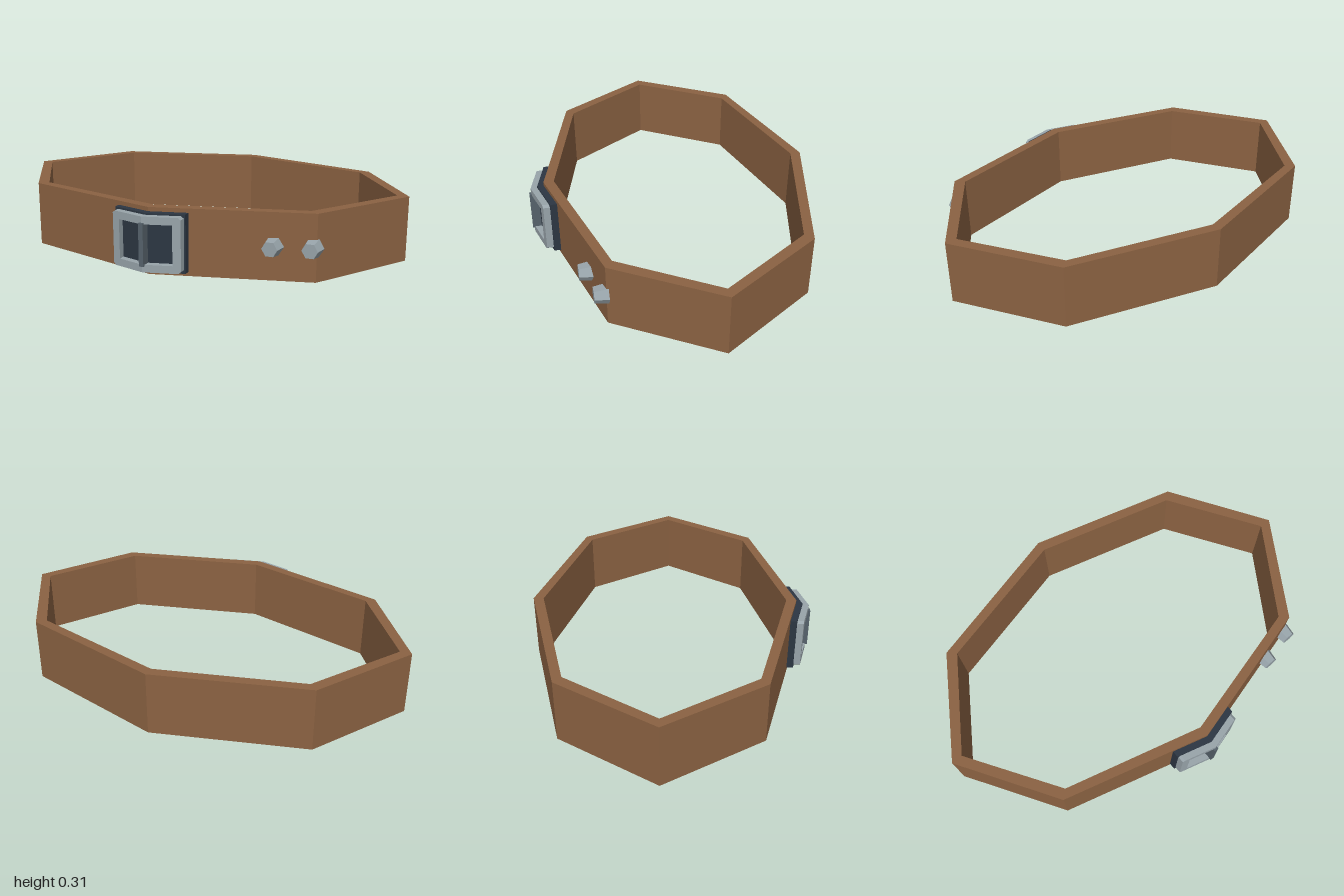
import * as THREE from 'three';

const mat = (color) => new THREE.MeshStandardMaterial({ color, flatShading: true });
const leather = mat(0x8b6242), dark = mat(0x2c3642), steel = mat(0x98a4aa), iron = mat(0x56626b);
const SLOPE = 0.27; // how far the front panels fall back per unit of x
const MID = 0.154; // half height of the belt

const octagon = (rx, rz) => Array.from({ length: 8 }, (_, i) => {
  const a = (i * Math.PI) / 4;
  return new THREE.Vector2(Math.cos(a) * rx, Math.sin(a) * rz);
});

// Extrude an outline given for x >= 0, mirror it, and lean both halves back along the belt
function bentPart(name, outline, z, depth, material) {
  const group = new THREE.Group();
  group.name = name;
  for (const side of [1, -1]) {
    const shape = new THREE.Shape(outline.map(([x, y]) => new THREE.Vector2(side * x, y)));
    const geo = new THREE.ExtrudeGeometry(shape, { depth, bevelEnabled: false });
    const p = geo.attributes.position;
    for (let i = 0; i < p.count; i++) p.setZ(i, p.getZ(i) - SLOPE * Math.abs(p.getX(i)));
    geo.computeVertexNormals();
    geo.translate(0, MID, z);
    const half = new THREE.Mesh(geo, material);
    half.name = name + (side > 0 ? 'Left' : 'Right');
    group.add(half);
  }
  return group;
}

export function createModel() {
  const model = new THREE.Group();
  model.name = 'belt';

  // Eight-sided strap
  const ring = new THREE.Shape(octagon(1, 0.652));
  ring.holes.push(new THREE.Path(octagon(0.945, 0.602)));
  const strapGeo = new THREE.ExtrudeGeometry(ring, { depth: 0.307, bevelEnabled: false });
  strapGeo.rotateX(-Math.PI / 2);
  strapGeo.translate(0, 0, -0.037);
  const strap = new THREE.Mesh(strapGeo, leather);
  strap.name = 'strap';
  model.add(strap);

  // Buckle: backing plate, open frame and prong
  const buckle = new THREE.Group();
  buckle.name = 'buckle';
  const plate = [[0, -0.134], [0.172, -0.134], [0.172, 0.134], [0, 0.134]];
  const frame = [
    [0, -0.126], [0.154, -0.126], [0.166, -0.116], [0.166, 0.116], [0.154, 0.126], [0, 0.126],
    [0, 0.091], [0.13, 0.091], [0.13, -0.091], [0, -0.091],
  ];
  buckle.add(bentPart('backingPlate', plate, 0.61, 0.037, dark));
  buckle.add(bentPart('buckleFrame', frame, 0.645, 0.034, steel));
  const prong = new THREE.Mesh(new THREE.BoxGeometry(0.022, 0.196, 0.045), iron);
  prong.name = 'prong';
  prong.position.set(0, MID, 0.665);
  buckle.add(prong);
  model.add(buckle);

  // Tapered hexagonal studs on the left front panel
  for (const [x, z] of [[0.527, 0.49], [0.691, 0.446]]) {
    const geo = new THREE.CylinderGeometry(0.036, 0.046, 0.064, 6, 1, false, Math.PI / 2);
    geo.rotateX(Math.PI / 2);
    const stud = new THREE.Mesh(geo, steel);
    stud.name = 'stud';
    stud.position.set(x, MID, z);
    model.add(stud);
  }
  return model;
}
